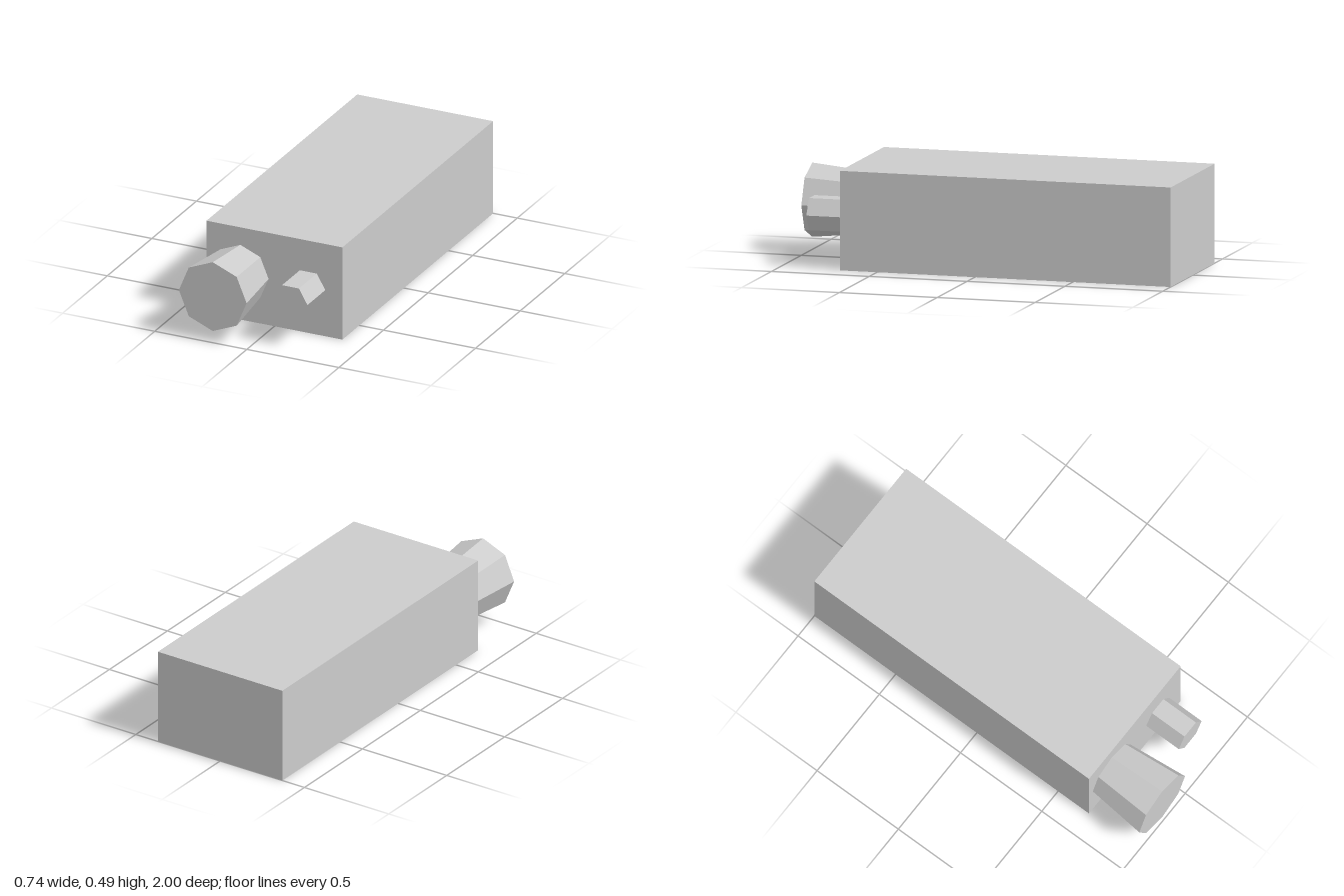
import * as THREE from 'three';

export function createModel() {
  const model = new THREE.Group();
  const grey = new THREE.MeshStandardMaterial({ color: 0xcccccc, flatShading: true });
  grey.name = 'light grey';

  const frontZ = 0.69; // front face of the housing
  const midY = 0.247;

  function add(name, geometry, x, y, z) {
    const mesh = new THREE.Mesh(geometry, grey);
    mesh.name = name;
    mesh.position.set(x, y, z);
    model.add(mesh);
  }

  // Faceted barrel pointing forward, with a corner on each side
  function addBarrel(name, x, frontRadius, backRadius, length, sides) {
    const geometry = new THREE.CylinderGeometry(
      frontRadius, backRadius, length, sides, 1, false, Math.PI / 2);
    geometry.rotateX(Math.PI / 2);
    add(name, geometry, x, midY, frontZ + length / 2);
  }

  // Long rectangular housing
  add('housing', new THREE.BoxGeometry(0.738, 0.493, 1 + frontZ), 0, midY, (frontZ - 1) / 2);

  // Large flared barrel and small straight one
  addBarrel('largeBarrel', -0.185, 0.184, 0.153, 0.31, 8);
  addBarrel('smallBarrel', 0.184, 0.092, 0.092, 0.2, 6);

  return model;
}
